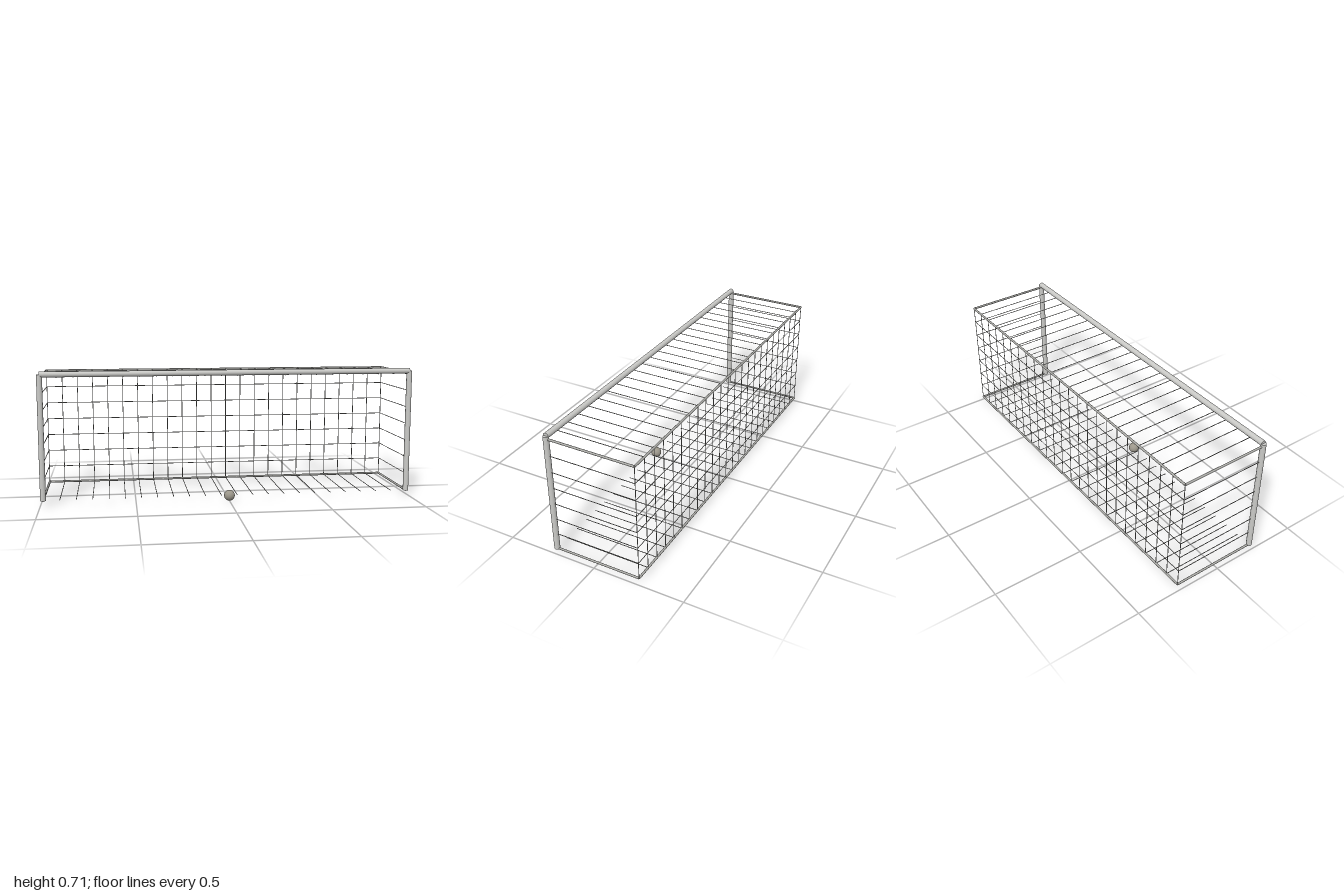
import * as THREE from 'three';

const paint = (name, color) => {
  const m = new THREE.MeshStandardMaterial({ color });
  m.name = name;
  return m;
};

export function createModel() {
  const postPaint = paint('light grey post', 0xcacac7);
  const framePaint = paint('grey frame', 0xaaaaa6);
  const netPaint = paint('grey net', 0xa4a4a0);
  const ballPaint = paint('warm grey ball', 0x9c978b);

  const goal = new THREE.Group();
  goal.name = 'goal';
  const X = 0.985, FRONT = 0.227, BACK = -0.25;
  const LOW = 0.03, HIGH = 0.675, BAR = 0.691;
  const ROWS = 7, COLUMNS = 23;

  // Straight round rod between two points
  const up = new THREE.Vector3(0, 1, 0);
  function rod(name, parent, a, b, radius, sides, material) {
    const from = new THREE.Vector3(...a), to = new THREE.Vector3(...b);
    const dir = to.clone().sub(from);
    const mesh = new THREE.Mesh(
      new THREE.CylinderGeometry(radius, radius, dir.length(), sides), material);
    mesh.position.copy(from).add(to).multiplyScalar(0.5);
    mesh.quaternion.setFromUnitVectors(up, dir.normalize());
    mesh.name = name;
    parent.add(mesh);
  }
  function group(name) {
    const g = new THREE.Group();
    g.name = name;
    goal.add(g);
    return g;
  }

  // Posts and crossbar
  const mouth = group('goalMouth');
  for (const s of [-1, 1]) {
    rod(s > 0 ? 'leftPost' : 'rightPost', mouth,
      [s * X, 0.029, FRONT], [s * X, BAR, FRONT], 0.015, 24, postPaint);
  }
  rod('crossbar', mouth, [-X, BAR, FRONT], [X, BAR, FRONT], 0.015, 24, postPaint);

  // Rear frame: long back rails and side rails, top and bottom
  const frame = group('rearFrame');
  for (const y of [LOW, HIGH]) {
    rod('backRail', frame, [-X, y, BACK], [X, y, BACK], 0.006, 12, framePaint);
    for (const s of [-1, 1]) {
      rod('sideRail', frame, [s * X, y, FRONT], [s * X, y, BACK], 0.006, 12, framePaint);
    }
  }

  // Net cords running down the back and along the roof and floor
  const net = group('net');
  const cord = (name, a, b) => rod(name, net, a, b, 0.002, 6, netPaint);
  for (let i = 0; i <= COLUMNS; i++) {
    const x = -X + (2 * X * i) / COLUMNS;
    cord('backVerticalCord', [x, LOW, BACK], [x, HIGH, BACK]);
    if (i === 0 || i === COLUMNS) continue;
    cord('roofCord', [x, HIGH, BACK], [x, HIGH, FRONT]);
    cord('floorCord', [x, LOW, BACK], [x, LOW, FRONT]);
  }

  // Horizontal cords around the back and both sides
  for (let j = 1; j < ROWS; j++) {
    const y = LOW + ((HIGH - LOW) * j) / ROWS;
    cord('backHorizontalCord', [-X, y, BACK], [X, y, BACK]);
    for (const s of [-1, 1]) cord('sideCord', [s * X, y, BACK], [s * X, y, FRONT]);
  }

  // Ball on the goal line
  const ball = new THREE.Mesh(new THREE.SphereGeometry(0.029, 32, 20), ballPaint);
  ball.position.set(0, 0.029, FRONT);
  ball.name = 'ball';
  goal.add(ball);

  return goal;
}
